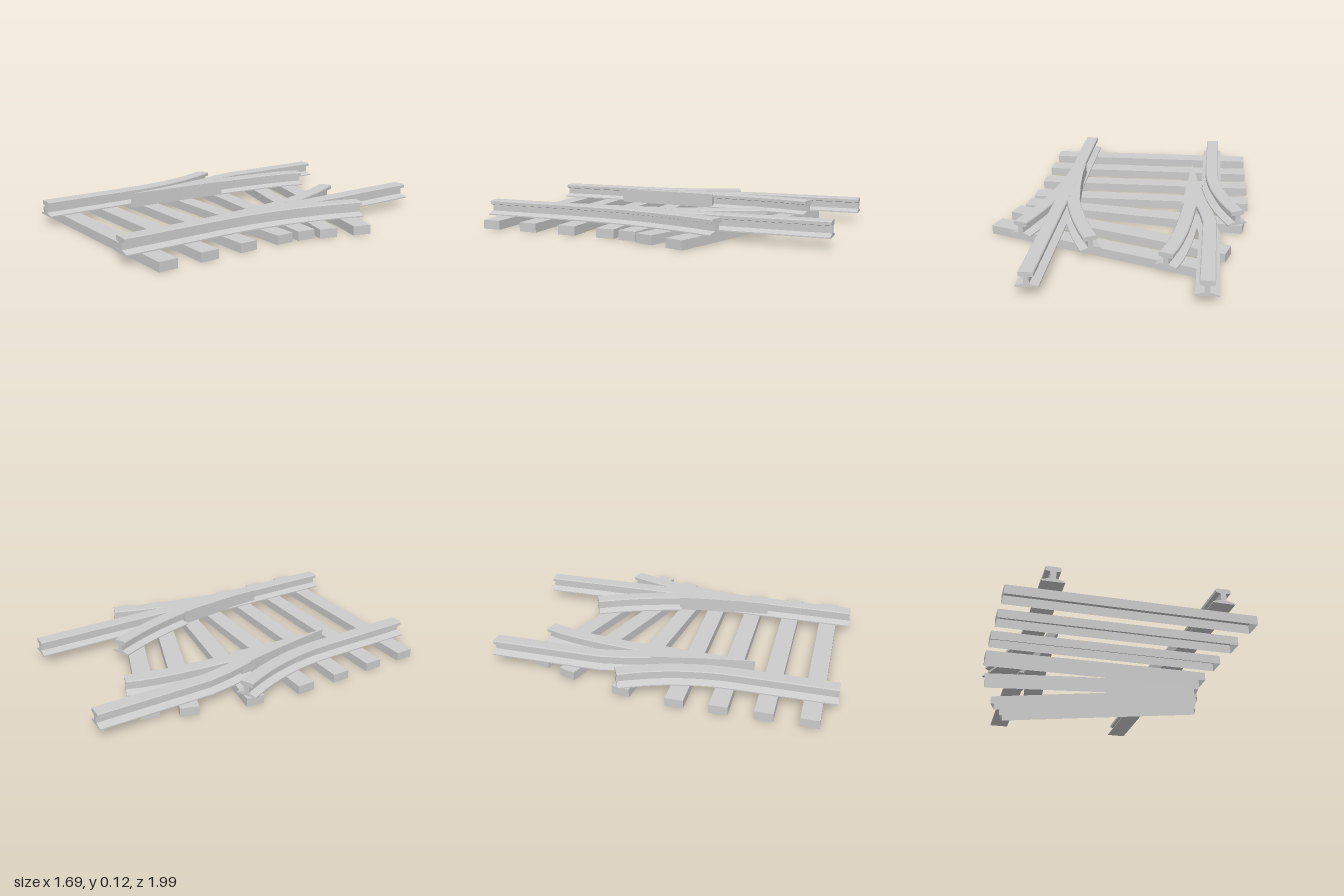
import * as THREE from 'three';

const BASE = 0.045, TOP = 0.12, HALF_GAUGE = 0.39;
const grey = new THREE.MeshStandardMaterial({ color: 0xcccccc, flatShading: true, side: THREE.DoubleSide });

function add(parent, name, geometry) {
  const mesh = new THREE.Mesh(geometry, grey);
  mesh.name = name;
  parent.add(mesh);
  return mesh;
}

// Rail cross-section: wide foot, thin web, chamfered head
function railShape() {
  const half = [[0.053, BASE], [0.053, 0.051], [0.013, 0.063], [0.013, 0.095],
    [0.035, 0.1], [0.035, 0.115], [0.031, TOP]];
  const left = half.map(([u, y]) => [-u, y]).reverse();
  return new THREE.Shape([...half, ...left].map(([u, y]) => new THREE.Vector2(u, y)));
}

// Sweep the rail section along a plan path of [distance along track, sideways]
function railGeometry(path) {
  const n = path.length - 1;
  const geo = new THREE.ExtrudeGeometry(railShape(), { depth: n, steps: n, bevelEnabled: false });
  const points = path.map(([s, t]) => new THREE.Vector2(t, -s));
  const dir = i => points[i + 1].clone().sub(points[i]).normalize();
  const pos = geo.attributes.position;
  for (let v = 0; v < pos.count; v++) {
    const i = Math.round(pos.getZ(v)), u = pos.getX(v);
    const d = dir(Math.max(i - 1, 0)).add(dir(Math.min(i, n - 1))).normalize();
    pos.setXYZ(v, points[i].x + u * d.y, pos.getY(v), points[i].y - u * d.x);
  }
  geo.computeVertexNormals();
  return geo;
}

// Curved rail parallel to a branch centre line; side is -1 for one way, +1 for the other
function branchPath(offset, { side, start, radius, angle, tail }, from) {
  const r = radius - side * offset;
  const a0 = from > start ? Math.asin((from - start) / r) : 0;
  const path = from < start ? [[from, offset]] : [];
  const steps = 8;
  for (let i = 0; i <= steps; i++) {
    const a = a0 + (angle - a0) * i / steps;
    path.push([start + r * Math.sin(a), offset + side * r * (1 - Math.cos(a))]);
  }
  const [s, t] = path[path.length - 1];
  path.push([s + tail * Math.cos(angle), t + side * tail * Math.sin(angle)]);
  return path;
}

// Full-height pointed switch blade from a plan outline of [sideways, distance]
function bladeGeometry(outline) {
  const shape = new THREE.Shape(outline.map(([t, s]) => new THREE.Vector2(t, s)));
  const geo = new THREE.ExtrudeGeometry(shape, { depth: TOP - BASE - 0.0005, bevelEnabled: false });
  return geo.rotateX(-Math.PI / 2).translate(0, BASE, 0);
}

// Sleeper: a box with an open underside
function sleeperGeometry(length, width) {
  const geo = new THREE.BoxGeometry(length, BASE, width);
  const index = Array.from(geo.index.array);
  index.splice(18, 6);
  geo.setIndex(index);
  return geo;
}

export function createModel() {
  const model = new THREE.Group();
  model.name = 'railSwitch';

  // Sleepers: plan ends [x, z, x, z], fanning towards the branches
  const sleepers = new THREE.Group();
  sleepers.name = 'sleepers';
  model.add(sleepers);
  const ends = [
    [-0.825, 0.43, 0.225, 0.95], [-0.73, 0.238, 0.32, 0.76], [-0.637, 0.043, 0.415, 0.566],
    [-0.54, -0.15, 0.513, 0.38], [-0.388, -0.385, 0.58, 0.278], [-0.177, -0.63, 0.664, 0.204],
    [-0.037, -0.75, 0.79, 0.077],
  ];
  for (const [x0, z0, x1, z1] of ends) {
    const sleeper = add(sleepers, 'sleeper', sleeperGeometry(Math.hypot(x1 - x0, z1 - z0), 0.092));
    sleeper.position.set((x0 + x1) / 2, BASE / 2, (z0 + z1) / 2);
    sleeper.rotation.y = -Math.atan2(z1 - z0, x1 - x0);
  }

  // Rails are laid along a track axis turned in plan
  const track = new THREE.Group();
  track.name = 'rails';
  track.position.set(-0.35, 0, 0.795);
  track.rotation.y = THREE.MathUtils.degToRad(-26.56);
  model.add(track);

  const leftBranch = { side: -1, start: 0.5, radius: 1.62, angle: THREE.MathUtils.degToRad(26.5), tail: 0.024 };
  const rightBranch = { side: 1, start: 0.49, radius: 2.62, angle: THREE.MathUtils.degToRad(18.5), tail: 0.102 };

  // Outer rails
  add(track, 'outerBranchRail', railGeometry(branchPath(-HALF_GAUGE, leftBranch, 0)));
  add(track, 'straightRail', railGeometry([[0, HALF_GAUGE], [1.78, HALF_GAUGE]]));
  add(track, 'outerBranchRail', railGeometry(branchPath(HALF_GAUGE, rightBranch, 0.49)));

  // Inner rails behind the blades
  add(track, 'innerBranchRail', railGeometry(branchPath(HALF_GAUGE, leftBranch, 0.965)));
  add(track, 'innerStraightRail', railGeometry([[0.95, -0.335], [1.08, -0.37], [1.2, -HALF_GAUGE], [1.78, -HALF_GAUGE]]));
  add(track, 'innerBranchRail', railGeometry([[0.99, -0.285], [1.1, -0.277], [1.2, -0.267], [1.3, -0.255],
    [1.4, -0.238], [1.48, -0.22], [1.549, -0.197]]));

  // Switch blades: one standing open, one closed against its rail
  add(track, 'openBlade', bladeGeometry([[-0.275, 0.427], [-0.257, 0.75], [-0.24, 0.997],
    [-0.37, 0.997], [-0.36, 0.917], [-0.318, 0.7]]));
  add(track, 'closedBlade', bladeGeometry([[0.351, 0.46], [0.36, 0.6], [0.37, 0.965],
    [0.3, 0.965], [0.324, 0.8], [0.343, 0.62]]));

  return model;
}
